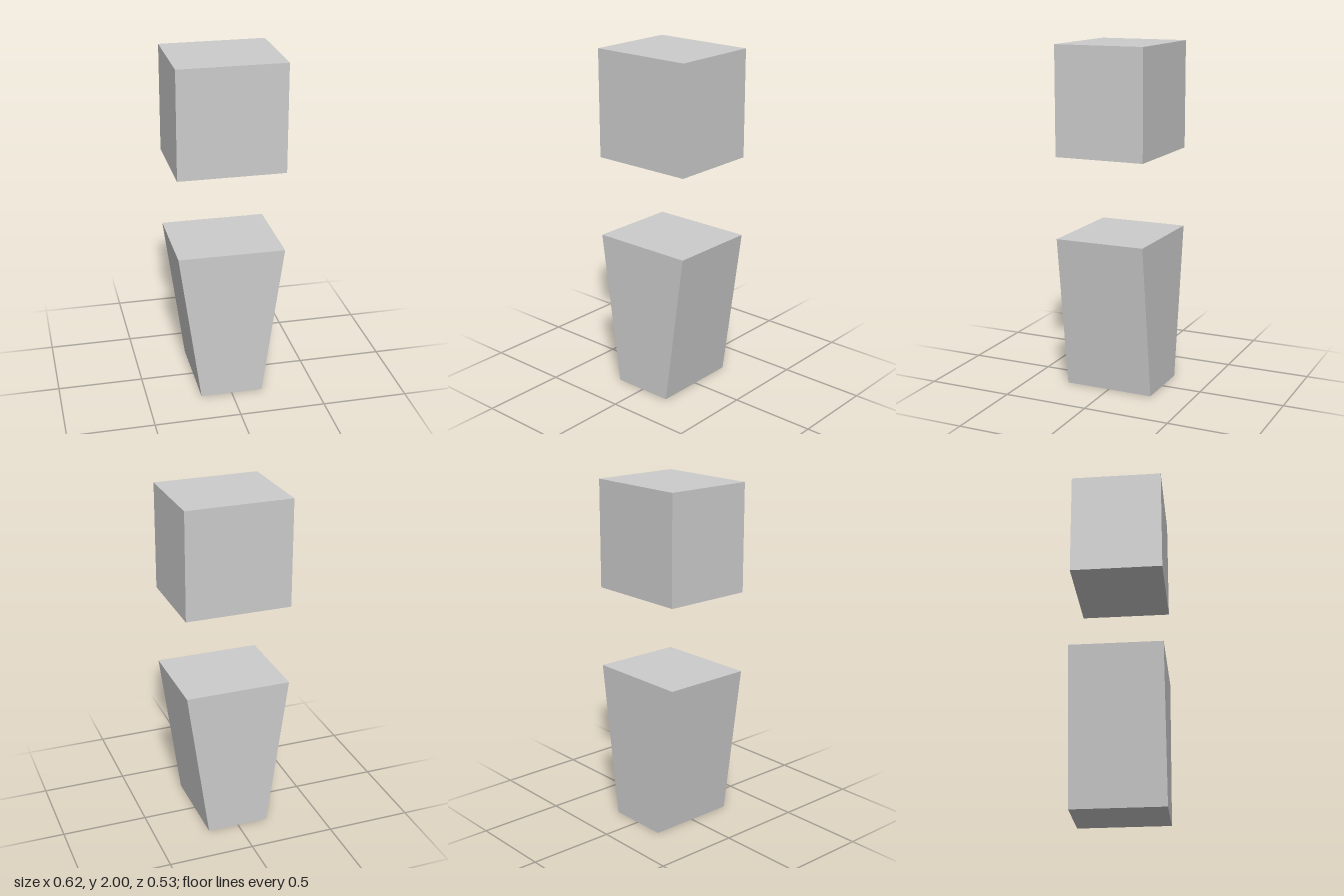
import * as THREE from 'three';

const DEPTH = 0.53;

// Solid block whose front outline is a symmetric trapezoid, extruded along z
function block(name, bottomHalf, topHalf, y0, y1) {
  const outline = new THREE.Shape([
    new THREE.Vector2(-bottomHalf, y0),
    new THREE.Vector2(bottomHalf, y0),
    new THREE.Vector2(topHalf, y1),
    new THREE.Vector2(-topHalf, y1),
  ]);
  const geometry = new THREE.ExtrudeGeometry(outline, { depth: DEPTH, bevelEnabled: false });
  geometry.translate(0, 0, -DEPTH / 2);
  const material = new THREE.MeshStandardMaterial({ color: 0xcccccc, flatShading: true });
  const mesh = new THREE.Mesh(geometry, material);
  mesh.name = name;
  return mesh;
}

export function createModel() {
  const model = new THREE.Group();
  model.name = 'floatingBlocks';

  // Tapered base, narrowing towards the ground
  model.add(block('taperedBase', 0.183, 0.308, 0, 0.905));

  // Upper block hovering above the base
  model.add(block('upperBlock', 0.308, 0.308, 1.376, 2));

  return model;
}
